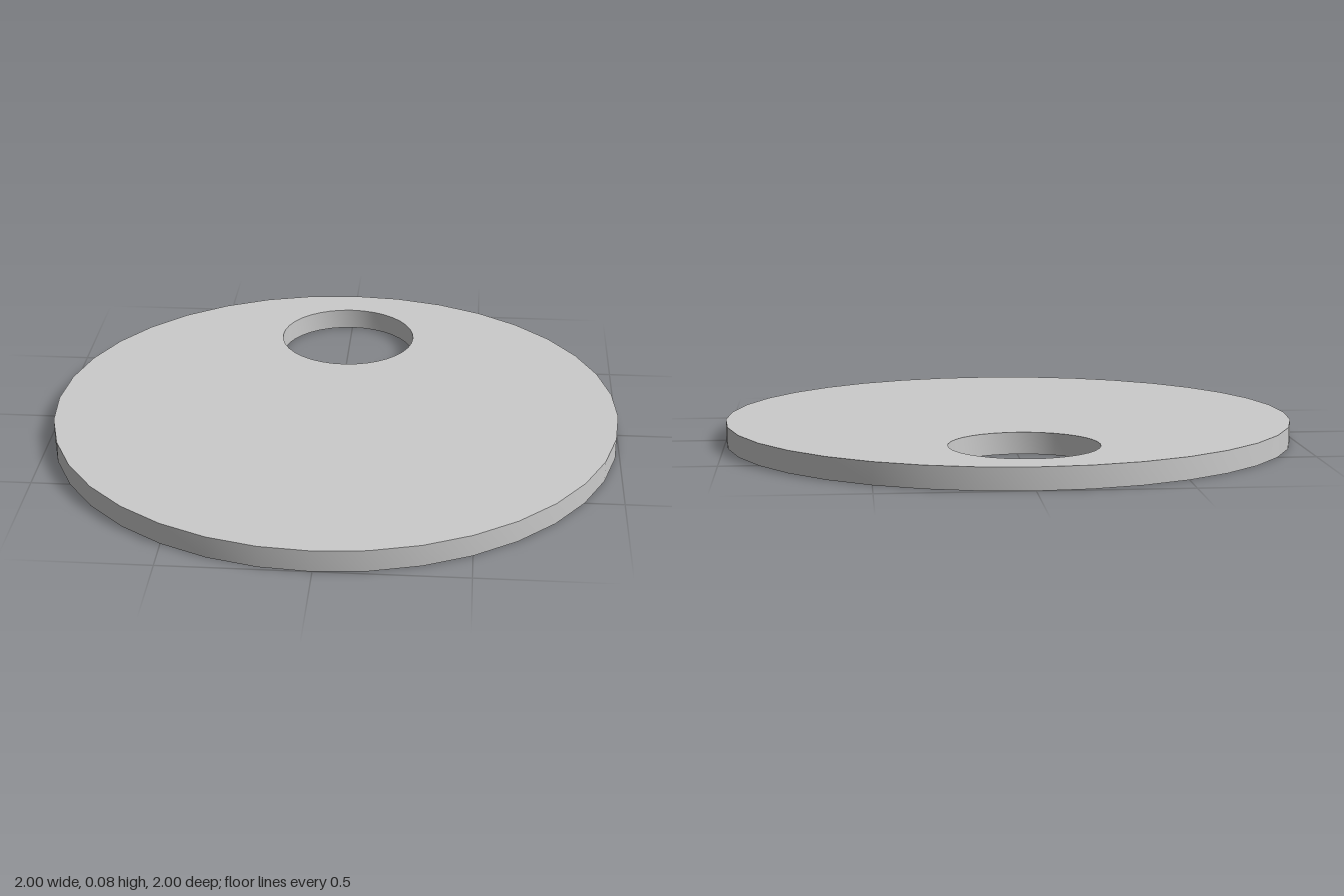
import * as THREE from 'three';
import { toCreasedNormals } from 'three/addons/utils/BufferGeometryUtils.js';

const SIDES = 36;
const THICKNESS = 0.075;

// Points of a regular polygon around (0, cy)
function ring(radius, cy) {
  return Array.from({ length: SIDES }, (_, i) => {
    const a = (i / SIDES) * Math.PI * 2;
    return new THREE.Vector2(radius * Math.cos(a), cy + radius * Math.sin(a));
  });
}

export function createModel() {
  const group = new THREE.Group();
  group.name = 'discWithHole';

  // Round plate with an off-centre hole towards the back
  const outline = new THREE.Shape(ring(1, 0));
  outline.holes.push(new THREE.Path(ring(0.25, 0.61)));

  const plate = new THREE.ExtrudeGeometry(outline, { depth: THICKNESS, bevelEnabled: false });
  plate.rotateX(-Math.PI / 2);

  // Smooth rims, sharp top and bottom edges
  const disc = new THREE.Mesh(
    toCreasedNormals(plate, 0.6),
    new THREE.MeshStandardMaterial({ color: 0xcccccc })
  );
  disc.name = 'disc';
  group.add(disc);
  return group;
}
